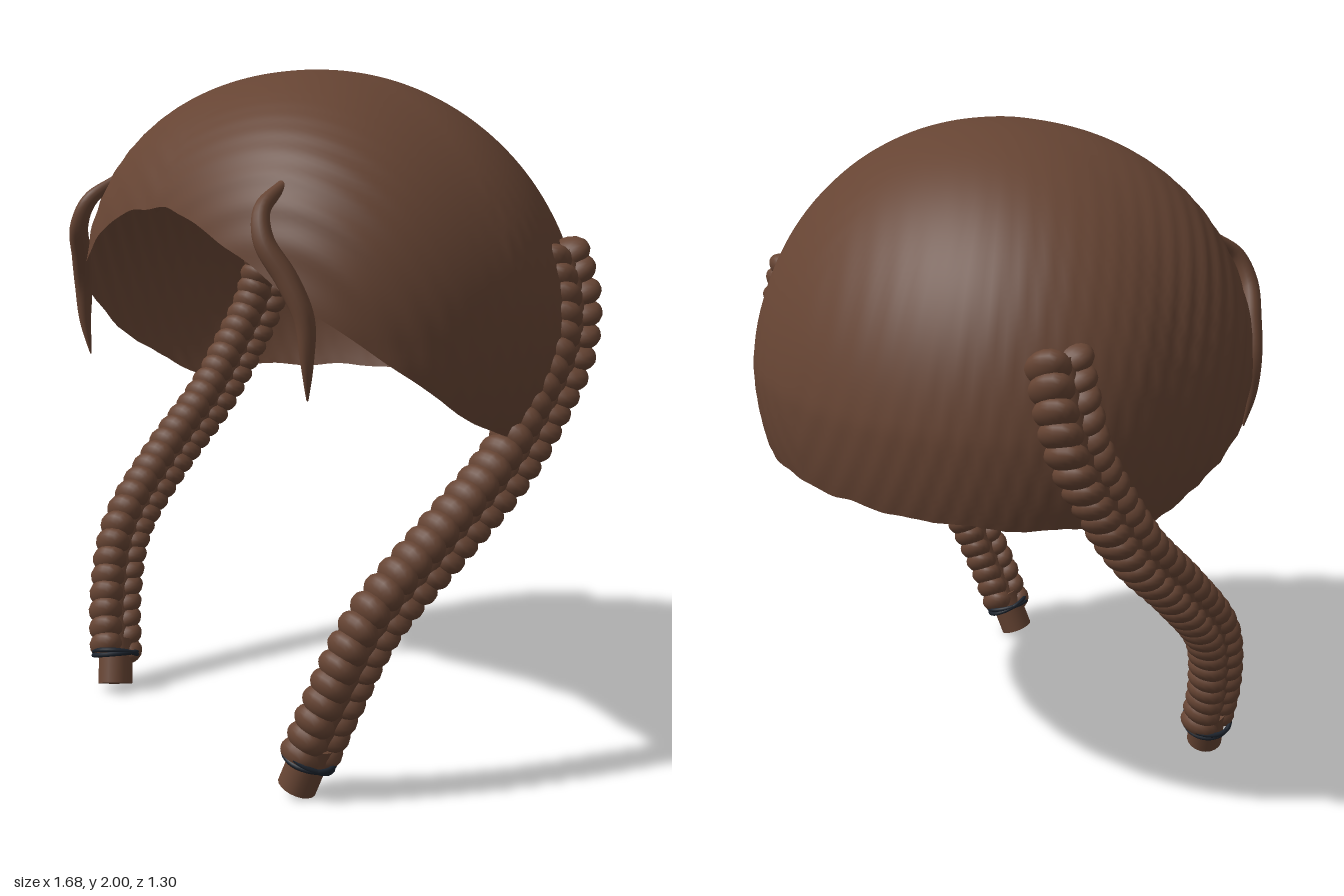
import * as THREE from 'three';
import { mergeGeometries } from 'three/addons/utils/BufferGeometryUtils.js';

const hair = new THREE.MeshStandardMaterial({ color: 0x664433, side: THREE.DoubleSide });
const band = new THREE.MeshStandardMaterial({ color: 0x1c232d });

const mesh = (name, geometry, material) => {
  const m = new THREE.Mesh(geometry, material);
  m.name = name;
  return m;
};
const curve = (points, s) =>
  new THREE.CatmullRomCurve3(points.map(([x, y, z]) => new THREE.Vector3(s * x, y, z)));

// Builds an indexed surface from a grid of points; columns wrap around
function loft(cols, rows, pointAt) {
  const pos = [], index = [];
  for (let j = 0; j <= rows; j++)
    for (let i = 0; i < cols; i++) {
      pos.push(...pointAt(i / cols, j / rows));
      if (j === rows) continue;
      const a = j * cols + i, c = j * cols + (i + 1) % cols;
      index.push(a, a + cols, c, c, a + cols, c + cols);
    }
  const g = new THREE.BufferGeometry();
  g.setAttribute('position', new THREE.Float32BufferAttribute(pos, 3));
  g.setIndex(index);
  g.computeVertexNormals();
  return g;
}

// Egg-shaped shell, fuller at the front, with a rim that arches over the forehead
function capPoint(u, v) {
  const W = 0.835, MID = 1.25, H = 0.75, P = 2.08;
  const th = u * Math.PI * 2, sx = Math.sin(th), cz = Math.cos(th);
  const n = cz > 0 ? 2.6 : 2, D = cz > 0 ? 0.675 : 0.657;
  const r = (Math.abs(sx / W) ** n + Math.abs(cz / D) ** n) ** (-1 / n);
  let rim = 1;
  if (cz > 0) {
    const a = Math.asin(Math.min(1, (Math.abs(r * sx) / W) ** (n / 2)));
    rim = 1.6 - 0.447 * (Math.hypot(a, 0.2) - 0.2);
  }
  rim += 0.003 * Math.sin(th * 22) + 0.003 * Math.sin(th * 13);
  const low = Math.asin((rim - MID) / H);
  const s = Math.sin(Math.PI / 2 + (low - Math.PI / 2) * v);
  const k = (1 - Math.abs(s) ** P) ** (1 / P);
  const x = r * sx * k, y = MID + H * s, z = r * cz * k + 0.085 * Math.max(0, s);
  // fine combed waves, stronger toward the sides
  const wave = 1 + Math.sin(95 * (z + 0.45 * Math.abs(x) - 0.3 * y)) * (0.0015 + 0.005 * x * x) * k;
  return [x * wave, y, z * wave];
}

// Tapered loose lock curling over the forehead edge
function lock(s) {
  const path = curve([[0.455, 1.67, 0.52], [0.475, 1.61, 0.6], [0.51, 1.53, 0.62],
    [0.565, 1.43, 0.585], [0.605, 1.33, 0.56], [0.61, 1.22, 0.555], [0.597, 1.115, 0.545]], s);
  const rows = 36, cols = 12, frames = path.computeFrenetFrames(rows);
  return loft(cols, rows, (u, v) => {
    const k = Math.round(v * rows), a = u * Math.PI * 2;
    const r = 0.016 + 0.016 * Math.sin(Math.PI * Math.min(1, v * 0.95)) - 0.016 * v ** 4;
    return path.getPointAt(v)
      .addScaledVector(frames.normals[k], -r * Math.cos(a))
      .addScaledVector(frames.binormals[k], r * Math.sin(a)).toArray();
  });
}

// Two columns of slanted overlapping lobes along the braid path
function braidLobes(path, s) {
  const parts = [], count = 30;
  const out = new THREE.Vector3(s, 0, 0);
  for (let i = 0; i < count; i++)
    for (const side of [-1, 1]) {
      const t = (i + (side > 0 ? 0.35 : 0)) / (count - 0.65);
      const T = path.getTangentAt(t);
      const N = out.clone().addScaledVector(T, -out.dot(T)).normalize();
      const B = new THREE.Vector3().crossVectors(T, N);
      const size = 1.05 - 0.1 * t;
      const g = new THREE.SphereGeometry(1, 16, 12);
      g.scale(0.054 * size, 0.041, 0.068 * size);
      g.rotateX(side * 0.25);
      g.rotateZ(-side * 0.7);
      g.translate(side * 0.038 * size, 0, 0);
      g.applyMatrix4(new THREE.Matrix4().makeBasis(B, T, N).setPosition(path.getPointAt(t)));
      parts.push(g);
    }
  return mergeGeometries(parts);
}

function braid(s) {
  const g = new THREE.Group();
  g.name = s > 0 ? 'leftBraid' : 'rightBraid';
  const path = curve([[0.705, 1.47, -0.25], [0.748, 1.36, -0.255], [0.77, 1.22, -0.225],
    [0.77, 1.06, -0.13], [0.76, 0.9, -0.01], [0.73, 0.71, 0.19], [0.675, 0.5, 0.385],
    [0.61, 0.28, 0.47], [0.55, 0.12, 0.505]], s);
  g.add(mesh('braidLobes', braidLobes(path, s), hair));
  g.add(mesh('braidCore', new THREE.TubeGeometry(path, 60, 0.045, 10), hair));

  // blunt tail below the tie
  const top = path.getPointAt(1), end = new THREE.Vector3(s * 0.518, 0.022, 0.528);
  const dir = end.clone().sub(top).normalize();
  const length = top.distanceTo(end) + 0.04;
  const tail = mesh('braidTail', new THREE.CylinderGeometry(0.056, 0.056, length, 20), hair);
  tail.position.copy(end).addScaledVector(dir, -0.5 * length);
  tail.quaternion.setFromUnitVectors(new THREE.Vector3(0, -1, 0), dir);
  g.add(tail);

  // two crossed loops of the hair tie
  for (const k of [-1, 1]) {
    const tie = mesh('hairTie', new THREE.TorusGeometry(0.073, 0.0075, 8, 32), band);
    tie.position.copy(top).addScaledVector(dir, 0.008);
    tie.quaternion.setFromUnitVectors(new THREE.Vector3(0, 0, 1), dir);
    tie.rotateX(k * 0.12);
    g.add(tie);
  }
  return g;
}

export function createModel() {
  const model = new THREE.Group();
  model.name = 'braidedHair';
  model.add(mesh('hairCap', loft(180, 60, capPoint), hair));
  for (const s of [1, -1]) {
    model.add(mesh(s > 0 ? 'leftLock' : 'rightLock', lock(s), hair));
    model.add(braid(s));
  }
  return model;
}
